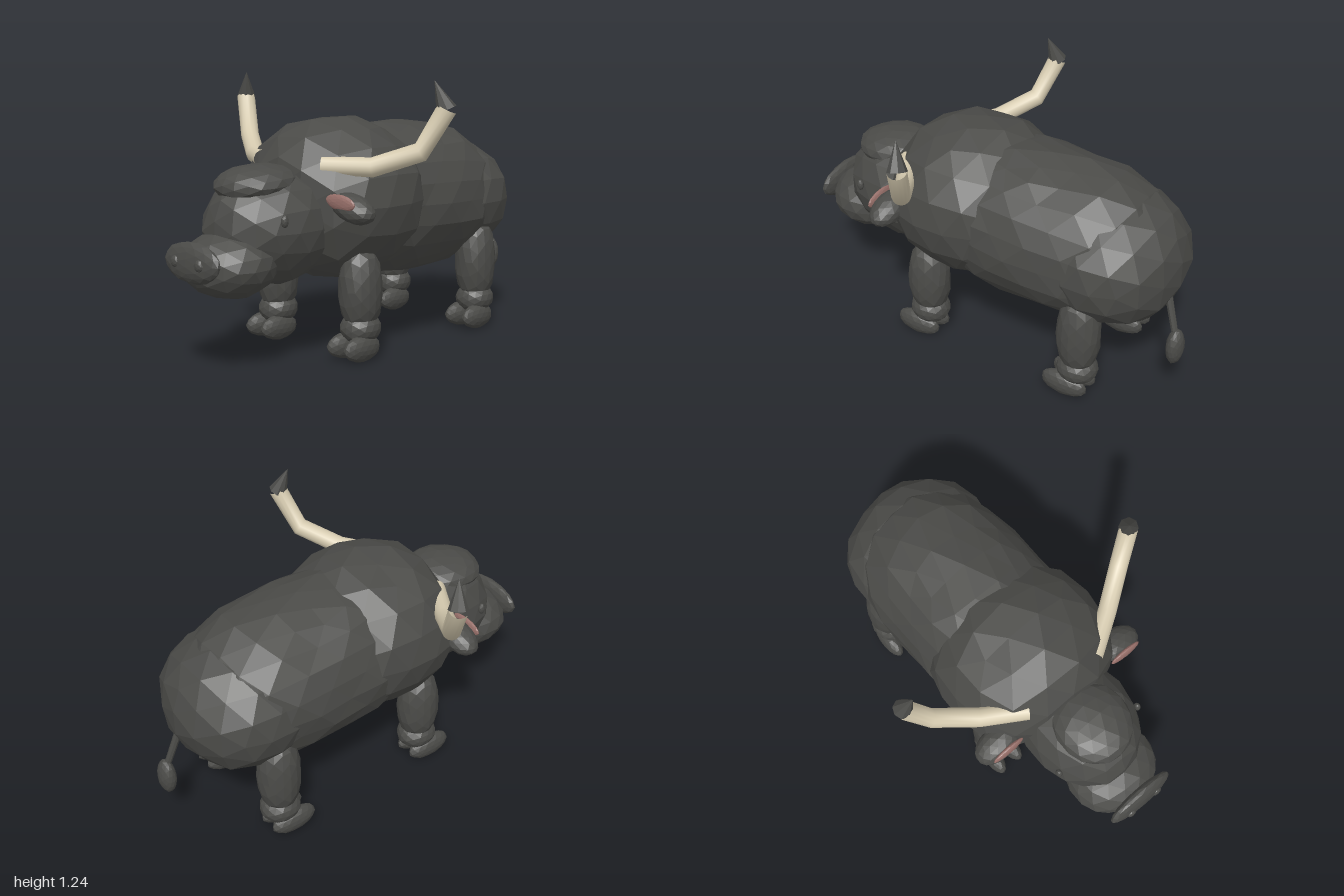
import * as THREE from 'three';

const mat = (name, color) => Object.assign(new THREE.MeshStandardMaterial({ color }), { name });

// Small repeatable offset from a direction, so the facets look hand-shaped
function wobble(v) {
  const n = Math.sin(v.x * 12.7 + v.y * 31.1 + v.z * 47.3) * 4.7;
  return Math.sin(n * 3) * 0.018;
}

// Faceted ellipsoid; power above 2 makes it barrel-like along its own z
function blobGeometry([rx, ry, rz], power = 2, detail = 3) {
  const g = new THREE.IcosahedronGeometry(1, detail);
  const p = g.attributes.position, v = new THREE.Vector3();
  for (let i = 0; i < p.count; i++) {
    v.fromBufferAttribute(p, i);
    // Rounding keeps shared corners identical
    v.set(Math.round(v.x * 1e4) / 1e4, Math.round(v.y * 1e4) / 1e4, Math.round(v.z * 1e4) / 1e4);
    const c = Math.hypot(v.x, v.y);
    const norm = (c ** power + Math.abs(v.z) ** power) ** (1 / power);
    const k = (1 + wobble(v)) / norm;
    p.setXYZ(i, v.x * k * rx, v.y * k * ry, v.z * k * rz);
  }
  g.computeVertexNormals(); // unshared corners give flat facets
  return g;
}

export function createModel() {
  const model = new THREE.Group();
  model.name = 'buffalo';
  const hide = mat('dark hide', 0x4b4b48);
  const ivory = mat('horn ivory', 0xd6cbb0);
  const pink = mat('inner ear pink', 0x98706a);

  const add = (name, geometry, material, parent = model) => {
    const m = new THREE.Mesh(geometry, material);
    m.name = name;
    parent.add(m);
    return m;
  };
  const blob = (name, pos, size, { rot = [0, 0, 0], power = 2, detail = 2, material = hide, parent = model } = {}) => {
    const m = add(name, blobGeometry(size, power, detail), material, parent);
    m.position.set(...pos);
    m.rotation.set(...rot);
    return m;
  };
  // Cylinder or cone running between two points
  const rod = (name, a, b, r0, r1, sides, parent = model) => {
    const from = new THREE.Vector3(...a), to = new THREE.Vector3(...b);
    const dir = to.clone().sub(from);
    const g = new THREE.CylinderGeometry(r1, r0, dir.length(), sides).toNonIndexed();
    g.computeVertexNormals();
    const m = add(name, g, hide, parent);
    m.position.copy(from).add(to).multiplyScalar(0.5);
    m.quaternion.setFromUnitVectors(new THREE.Vector3(0, 1, 0), dir.normalize());
    return m;
  };

  // Trunk
  blob('barrel', [0, 0.66, -0.25], [0.38, 0.36, 0.56], { power: 3, rot: [-0.04, 0, 0], detail: 3 });
  blob('shoulders', [0, 0.695, 0.13], [0.415, 0.37, 0.375], { power: 2.5 });
  blob('rump', [0, 0.625, -0.6], [0.365, 0.305, 0.325], { power: 2.2 });

  // Head
  blob('head', [0, 0.61, 0.52], [0.262, 0.258, 0.325]);
  blob('forelock', [0, 0.8, 0.6], [0.175, 0.085, 0.195], { rot: [0.05, 0, 0] });
  blob('muzzle', [0, 0.47, 0.76], [0.22, 0.145, 0.205]);
  blob('nosePad', [0, 0.505, 0.955], [0.177, 0.087, 0.037], { rot: [-0.08, 0, 0] });

  for (const s of [1, -1]) {
    const side = s > 0 ? 'left' : 'right';
    blob(side + 'Nostril', [s * 0.077, 0.505, 0.982], [0.027, 0.027, 0.016], { detail: 1 });
    blob(side + 'Eye', [s * 0.237, 0.668, 0.655], [0.015, 0.028, 0.018], { detail: 1 });

    // Ears droop outwards, with a thin inner face
    blob(side + 'Ear', [s * 0.365, 0.705, 0.38], [0.115, 0.06, 0.075], { rot: [0, 0, -s * 0.28] });
    blob(side + 'InnerEar', [s * 0.35, 0.735, 0.443], [0.085, 0.035, 0.014], { rot: [0, 0, -s * 0.08], material: pink });

    // Horn: three straight smooth sections and a dark point
    const path = new THREE.CatmullRomCurve3([
      [0.19, 0.872, 0.39], [0.39, 0.875, 0.265], [0.572, 0.965, 0.14], [0.638, 1.125, 0.1],
    ].map(([x, y, z]) => new THREE.Vector3(s * x, y, z)));
    const horn = new THREE.Group();
    horn.name = side + 'Horn';
    model.add(horn);
    add('hornShaft', new THREE.TubeGeometry(path, 3, 0.043, 14), ivory, horn);
    rod('hornTip', [s * 0.635, 1.122, 0.1], [s * 0.595, 1.245, 0.132], 0.045, 0, 8, horn);

    // Legs with cloven hooves
    for (const [end, z, lift] of [['Front', 0.235, 0], ['Hind', -0.58, 0.03]]) {
      const leg = new THREE.Group();
      leg.name = side + end + 'Leg';
      leg.position.set(s * 0.27, 0, z);
      model.add(leg);
      blob('shank', [0, 0.32 + lift / 2, 0], [0.095, 0.102, 0.185 + lift / 2],
        { rot: [Math.PI / 2, 0, 0], power: 2.5, parent: leg });
      blob('fetlock', [0, 0.145, 0], [0.09, 0.075, 0.097], { parent: leg });
      for (const t of [1, -1]) {
        blob('hoof', [t * 0.047, 0.065, 0.04], [0.043, 0.06, 0.112],
          { rot: [-0.06, t * 0.06, 0], parent: leg });
      }
    }
  }

  // Tail
  rod('tail', [0.035, 0.56, -0.88], [0.065, 0.35, -0.95], 0.018, 0.015, 8);
  blob('tailTuft', [0.067, 0.29, -0.955], [0.055, 0.09, 0.039]);

  return model;
}
